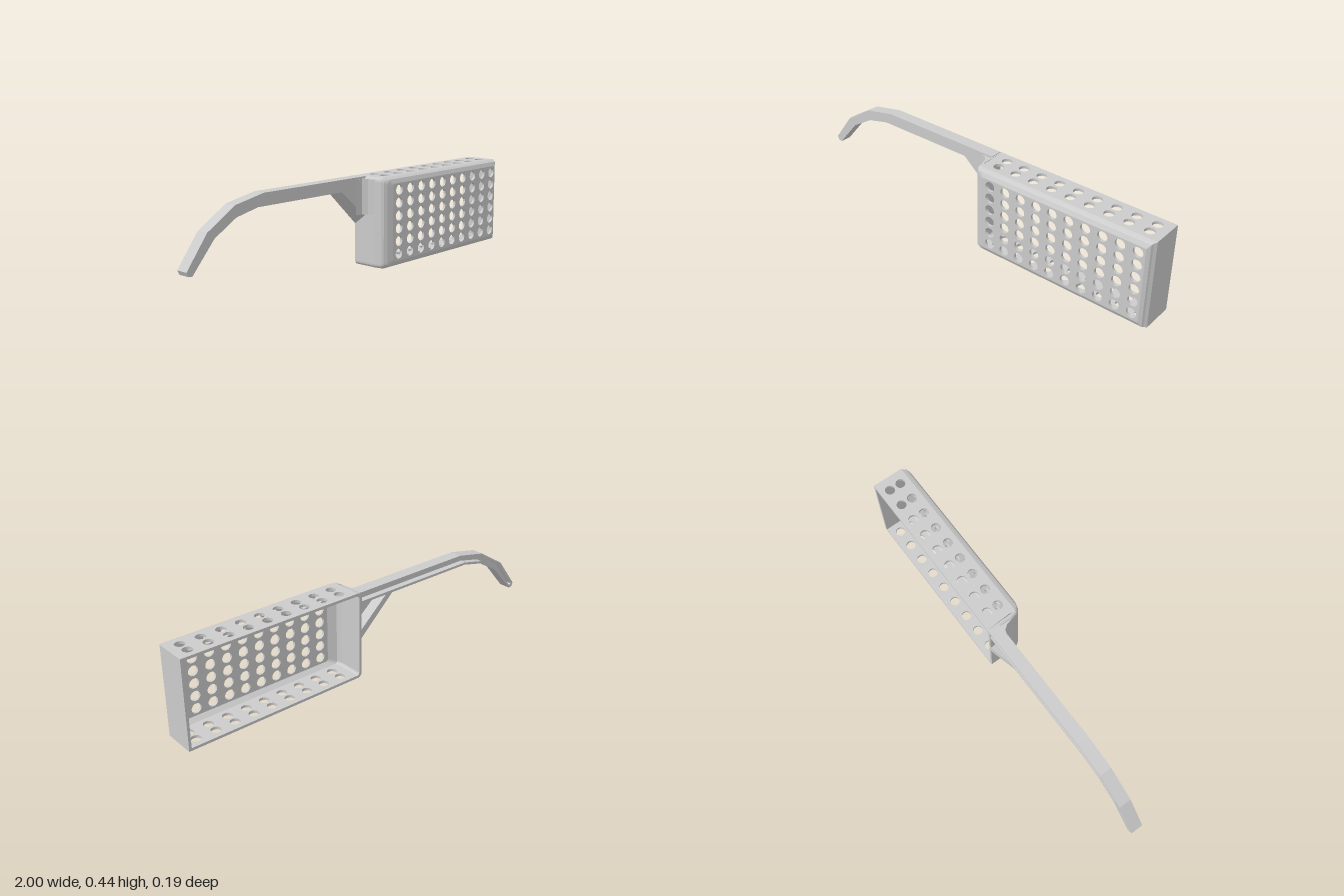
import * as THREE from 'three';

const T = 0.013; // wall thickness
const mat = new THREE.MeshStandardMaterial({ color: 0xcccccc, flatShading: true, side: THREE.DoubleSide });

const poly = pts => new THREE.Shape(pts.map(p => new THREE.Vector2(...p)));

function addHoles(shape, nx, ny, x0, x1, y0, y1, r) {
  for (let i = 0; i < nx; i++) for (let j = 0; j < ny; j++) {
    const hole = new THREE.Path();
    hole.absarc(x0 + (x1 - x0) * i / (nx - 1), y0 + (y1 - y0) * j / (ny - 1), r, 0, Math.PI * 2, true);
    shape.holes.push(hole);
  }
  return shape;
}

const slab = (shape, depth) =>
  new THREE.ExtrudeGeometry(shape, { depth, bevelEnabled: false, curveSegments: 8 });

// Skin through rows of equal point count
function loft(rows, closed) {
  const n = rows[0].length, index = [];
  for (let i = 0; i < rows.length - 1; i++) for (let j = 0; j < (closed ? n : n - 1); j++) {
    const k = (j + 1) % n, a = i * n, b = a + n;
    index.push(a + j, a + k, b + k, a + j, b + k, b + j);
  }
  const g = new THREE.BufferGeometry();
  g.setAttribute('position', new THREE.Float32BufferAttribute(rows.flat(2), 3));
  g.setIndex(index);
  g.computeVertexNormals();
  return g;
}

// Rounded rectangle at depth z: left corners rl, right corners rr, anticlockwise from lower right
function ring(x0, x1, y0, y1, rl, rr, z) {
  const out = [];
  const corners = [[x1 - rr, y0 + rr, rr, -0.5], [x1 - rr, y1 - rr, rr, 0], [x0 + rl, y1 - rl, rl, 0.5], [x0 + rl, y0 + rl, rl, 1]];
  for (const [cx, cy, r, start] of corners) for (let i = 0; i < 5; i++) {
    const a = (start + i / 8) * Math.PI;
    out.push([cx + r * Math.cos(a), cy + r * Math.sin(a), z]);
  }
  return out;
}

export function createModel() {
  const group = new THREE.Group();
  const add = (name, geometry, x = 0, y = 0, z = 0) => {
    const m = new THREE.Mesh(geometry, mat);
    m.name = name;
    m.position.set(x, y, z);
    group.add(m);
  };

  // Perforated front panel
  const face = ring(0.12, 0.97, 0.03, 0.41, 0.012, 0.002, 0).map(p => [p[0], p[1]]);
  add('frontPanel', slab(addHoles(poly(face), 10, 6, 0.165, 0.935, 0.065, 0.377, 0.025), T), 0, 0, 0.095 - T);

  // Perforated top and bottom plates
  const plate = addHoles(poly([[0.08, -0.095], [1, -0.095], [1, 0.063], [0.085, 0.063]]), 9, 2, 0.15, 0.935, -0.045, 0.015, 0.024);
  const plateGeometry = slab(plate, T).rotateX(Math.PI / 2);
  add('topPlate', plateGeometry, 0, 0.44);
  add('bottomPlate', plateGeometry, 0, T);

  // Plain end wall
  add('endWall', new THREE.BoxGeometry(T, 0.44, 0.158), 1 - T / 2, 0.22, -0.016);

  // Rounded wall on the handle side
  const left = (x, z, t) => ring(x + t, 1, t, 0.44 - t, 0.02 - t * 0.5, 0.001, z).slice(10);
  add('handleWall', loft([
    left(0.068, 0.063, 0), left(0.06, 0.03, 0), left(0.06, -0.095, 0),
    left(0.06, -0.095, T), left(0.06, 0.03, T), left(0.068, 0.063, T)
  ], false));

  // Bevelled rim around the front panel
  const bevel = (x0, x1, inset, r, z) => ring(x0, x1, inset, 0.44 - inset, r, 0.002, z);
  add('frontBevel', loft([
    bevel(0.068, 1, 0, 0.02, 0.063), bevel(0.075, 0.99, 0.005, 0.022, 0.075), bevel(0.09, 0.985, 0.01, 0.02, 0.085),
    bevel(0.12, 0.97, 0.03, 0.012, 0.095), bevel(0.12, 0.97, 0.03, 0.012, 0.095 - T),
    bevel(0.068 + T, 1 - T, T, 0.014, 0.06)
  ], true));

  // Handle: channel open to the back, curling down at the tip
  const outline = [[0.07, 0.44], [-0.58, 0.44], [-0.74, 0.408], [-0.89, 0.315], [-1, 0.17], [-0.99, 0.15],
    [-0.972, 0.148], [-0.853, 0.285], [-0.735, 0.355], [-0.615, 0.382], [0.07, 0.382]];
  const hollow = [[0.058, 0.428], [-0.582, 0.428], [-0.735, 0.396], [-0.882, 0.306], [-0.983, 0.17],
    [-0.973, 0.163], [-0.861, 0.295], [-0.738, 0.367], [-0.615, 0.394], [0.058, 0.394]];
  const frame = poly(outline);
  frame.holes.push(new THREE.Path(hollow.map(p => new THREE.Vector2(...p))));
  add('handleFlanges', slab(frame, 0.06), 0, 0, -0.095);
  add('handleWeb', slab(poly(hollow), 0.03), 0, 0, -0.065);

  // Gusset under the handle: sloping bar with a chamfered front, and a thin web
  const bar = (x, y0, y1, z, x2) => [[x, 0.384, z], [x2, 0.384, z], [0.065, y1, z], [0.065, y0, z]];
  const back = bar(-0.13, 0.2, 0.245, -0.095, -0.09);
  const front = bar(-0.1, 0.245, 0.26, -0.035, -0.08);
  add('gussetBar', loft([back, front], true));
  add('gussetBack', slab(poly(back.map(p => [p[0], p[1]])), 0.002), 0, 0, -0.095);
  add('gussetWeb', slab(poly([[-0.1, 0.384], [0.065, 0.384], [0.065, 0.245]]), T), 0, 0, -0.035 - T);

  // Fillet blending the handle into the wall
  const fillet = poly([[0, -0.036], [0.035, -0.028], [0.052, -0.005], [0.061, 0.03], [0.066, -0.036]]);
  add('handleFillet', slab(fillet, 0.17).rotateX(Math.PI / 2), 0, 0.43);

  return group;
}
